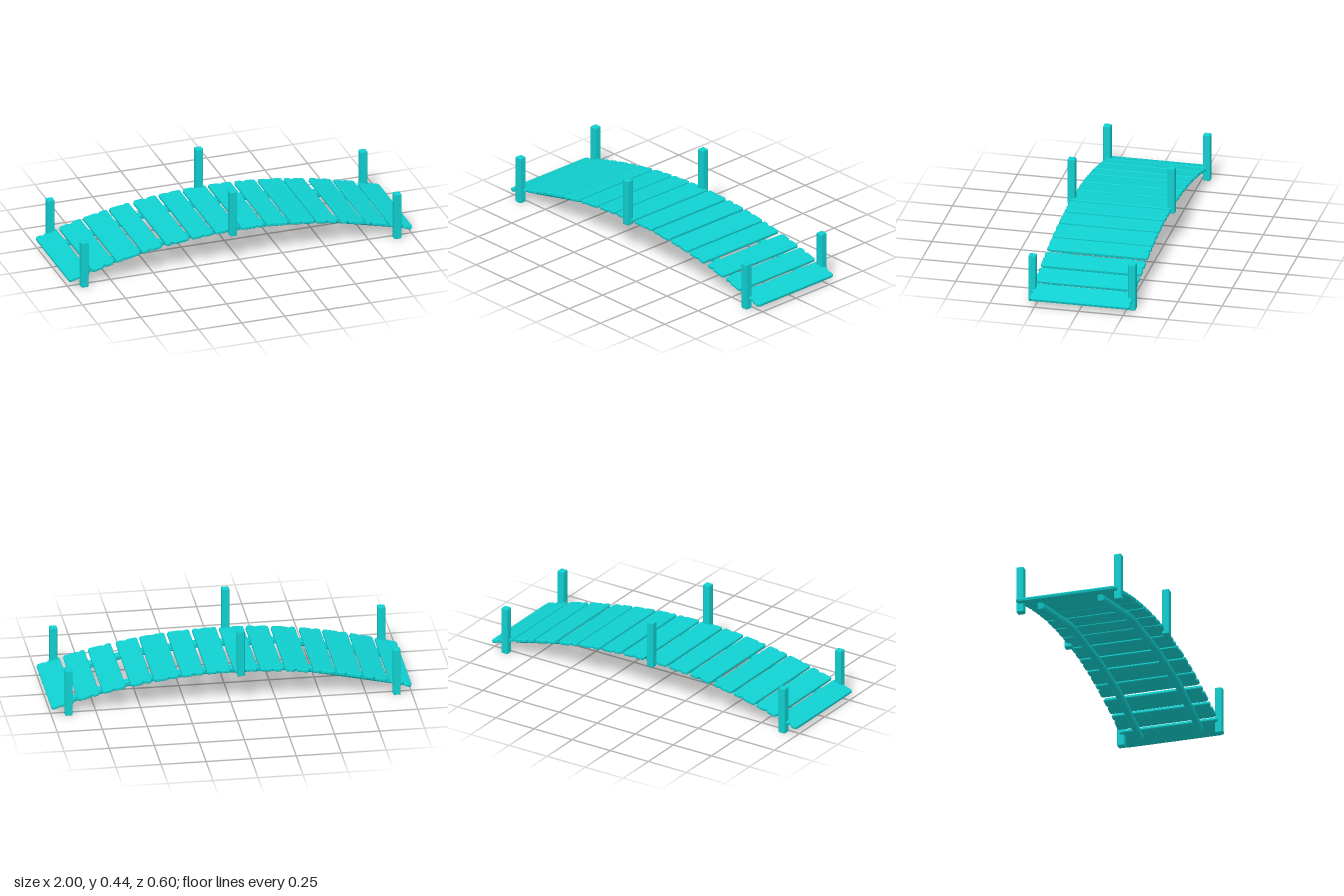
import * as THREE from 'three';
import { RoundedBoxGeometry } from 'three/addons/geometries/RoundedBoxGeometry.js';

const wood = new THREE.MeshStandardMaterial({ color: 0x10d0d0 });

// small seeded generator for the wear on the planks
let seed = 7;
const rand = () => (seed = (seed * 16807) % 2147483647) / 2147483647;

const arch = (x) => 0.2 - 0.16 * x * x;

function add(group, name, geometry, x = 0, y = 0, z = 0) {
  const mesh = new THREE.Mesh(geometry, wood);
  mesh.name = name;
  mesh.position.set(x, y, z);
  group.add(mesh);
  return mesh;
}

// bevelled extrusion, centred on its depth, keeping the outline's size
function bevelled(points, depth, bevel) {
  const geometry = new THREE.ExtrudeGeometry(new THREE.Shape(points), {
    depth: depth - 2 * bevel, bevelEnabled: true, bevelSegments: 1,
    bevelSize: bevel, bevelThickness: bevel, bevelOffset: -bevel,
  });
  return geometry.translate(0, 0, -(depth / 2 - bevel));
}

// plank outline: cut corners, with a shallow chip in each end
function plankGeometry(width, length) {
  const w = width / 2, l = length / 2, c = 0.008;
  const points = [];
  for (const s of [-1, 1]) {
    const chip = s * w * (rand() - 0.5), depth = 0.006 + 0.01 * rand();
    points.push(
      [s * (w - c), s * l], [chip + s * 0.016, s * l],
      [chip, s * (l - depth)], [chip - s * 0.014, s * l],
      [-s * (w - c), s * l], [-s * w, s * (l - c - 0.012 * rand())],
      [-s * w, -s * (l - c)],
    );
  }
  // the outline runs counter-clockwise: bottom end, right side, top end, left side
  const outline = points.map(([x, y]) => new THREE.Vector2(x, y));
  return bevelled(outline, 0.02, 0.004).rotateX(-Math.PI / 2);
}

export function createModel() {
  const bridge = new THREE.Group();
  bridge.name = 'footbridge';

  // deck planks laid along the arch: [left edge, right edge]
  const spans = [
    [-1, -0.877], [-0.865, -0.735], [-0.725, -0.585], [-0.575, -0.455], [-0.435, -0.3],
    [-0.285, -0.16], [-0.147, -0.013], [0.003, 0.136], [0.152, 0.275], [0.29, 0.43],
    [0.44, 0.56], [0.585, 0.715], [0.73, 0.853], [0.868, 1],
  ];
  const deck = new THREE.Group();
  deck.name = 'deck';
  bridge.add(deck);
  spans.forEach(([a, b], i) => {
    const x = (a + b) / 2;
    const tilt = Math.atan(-0.32 * x);
    const width = (b - a - 0.01 * Math.abs(Math.sin(tilt))) / Math.cos(tilt);
    const plank = add(deck, `plank${i + 1}`, plankGeometry(width, 0.566), x, arch(x), -0.002);
    plank.rotation.z = tilt;
  });

  // bent support beams under the deck
  const bottom = [[-0.9, 0.019], [-0.355, 0.139], [0.11, 0.148], [0.5, 0.117], [0.9, 0.021]];
  const top = [[0.908, 0.055], [0.504, 0.153], [0.112, 0.185], [-0.362, 0.174], [-0.908, 0.053]];
  const outline = [...bottom, ...top].map(([x, y]) => new THREE.Vector2(x, y));
  for (const side of [-1, 1]) {
    add(bridge, side > 0 ? 'frontBeam' : 'backBeam', bevelled(outline, 0.04, 0.009), 0, 0, side * 0.173);
  }

  // square posts: [name, x, foot, top]
  const posts = [['rightPost', -0.915, 0, 0.273], ['middlePost', -0.05, 0.172, 0.443], ['leftPost', 0.905, 0, 0.273]];
  for (const [name, x, foot, head] of posts) {
    for (const side of [-1, 1]) {
      const geometry = new RoundedBoxGeometry(0.042, head - foot, 0.042, 1, 0.006);
      add(bridge, (side > 0 ? 'front_' : 'back_') + name, geometry, x, (foot + head) / 2, side * 0.281);
    }
  }
  return bridge;
}
